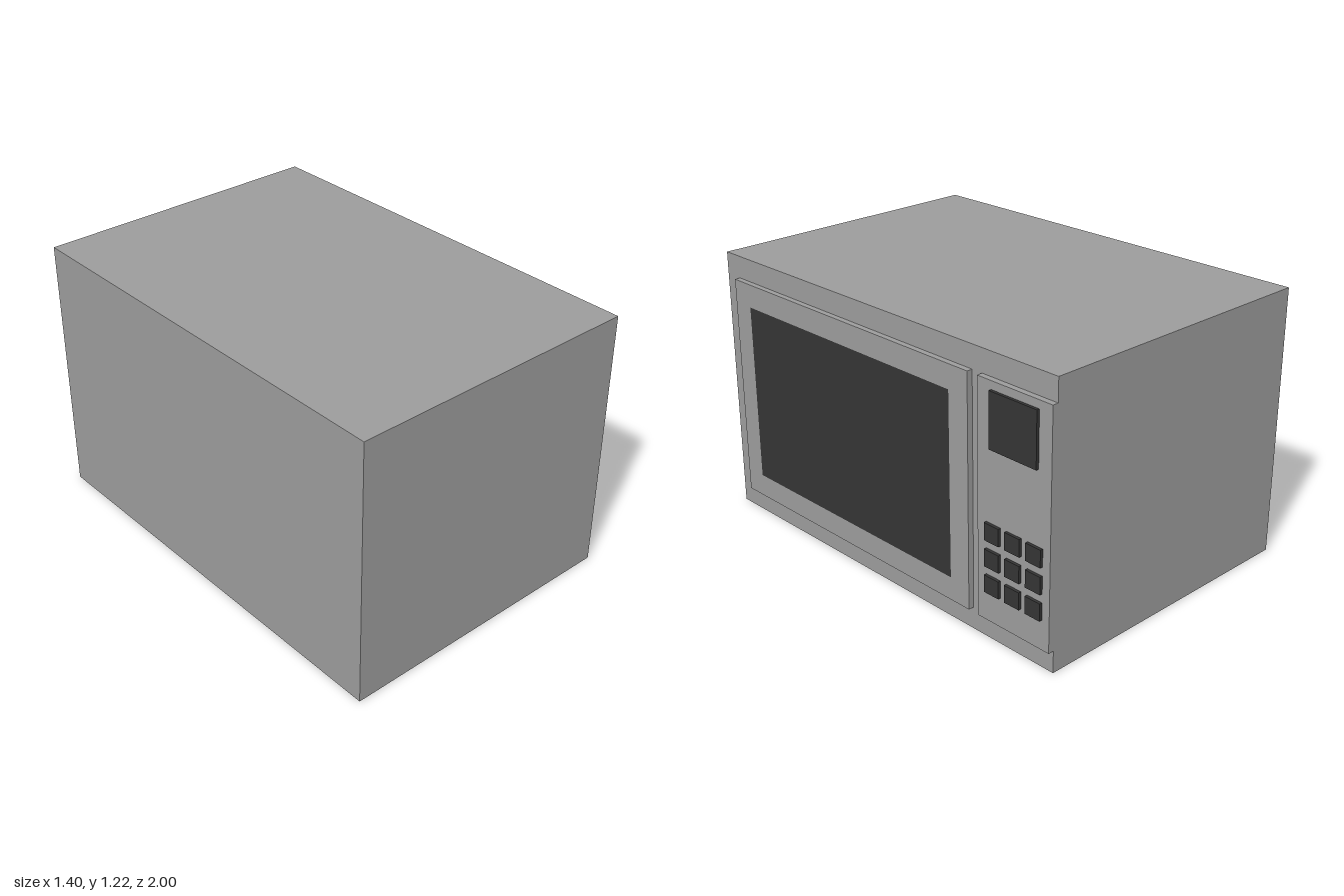
import * as THREE from 'three';

const grey = new THREE.MeshStandardMaterial({ color: 0x9c9c9c, flatShading: true });
const dark = new THREE.MeshStandardMaterial({ color: 0x343434, flatShading: true });

const BODY_X = 0.661;  // face of the cabinet
const DOOR_X = 0.687;  // face of the door and the control panel
const FRONT_X = 0.7;   // face of the display and buttons

// Box given by its limits along each axis
function box(name, material, [x0, x1], [y0, y1], [z0, z1]) {
  const mesh = new THREE.Mesh(new THREE.BoxGeometry(x1 - x0, y1 - y0, z1 - z0), material);
  mesh.position.set((x0 + x1) / 2, (y0 + y1) / 2, (z0 + z1) / 2);
  mesh.name = name;
  return mesh;
}

// Rectangle outline, with z running to the left
function outline(Type, [y0, y1], [z0, z1]) {
  return new Type([
    new THREE.Vector2(-z1, y0), new THREE.Vector2(-z0, y0),
    new THREE.Vector2(-z0, y1), new THREE.Vector2(-z1, y1),
  ]);
}

export function createModel() {
  const model = new THREE.Group();
  model.name = 'microwaveOven';

  // Cabinet
  model.add(box('cabinet', grey, [-0.7, BODY_X], [0, 1.217], [-1, 1]));

  // Door: a frame around a flush dark window
  const door = new THREE.Group();
  door.name = 'door';
  const windowY = [0.201, 1.012], windowZ = [-0.46, 0.812];
  const shape = outline(THREE.Shape, [0.098, 1.117], [-0.564, 0.914]);
  shape.holes.push(outline(THREE.Path, windowY, windowZ));
  const frame = new THREE.Mesh(
    new THREE.ExtrudeGeometry(shape, { depth: DOOR_X - BODY_X, bevelEnabled: false }), grey);
  frame.rotation.y = Math.PI / 2;
  frame.position.x = BODY_X;
  frame.name = 'doorFrame';
  door.add(frame, box('doorWindow', dark, [BODY_X, DOOR_X], windowY, windowZ));
  model.add(door);

  // Control panel with display
  const controls = new THREE.Group();
  controls.name = 'controls';
  controls.add(
    box('controlPanel', grey, [BODY_X, DOOR_X], [0.098, 1.117], [-1, -0.617]),
    box('display', dark, [DOOR_X, FRONT_X], [0.846, 1.082], [-0.935, -0.691]));

  // Keypad: three rows of three buttons
  const keypad = new THREE.Group();
  keypad.name = 'keypad';
  for (let row = 0; row < 3; row++) {
    for (let col = 0; col < 3; col++) {
      const y = 0.494 - row * 0.114, z = -0.703 - col * 0.11;
      keypad.add(box('button', dark, [DOOR_X, FRONT_X], [y - 0.038, y + 0.038], [z - 0.039, z + 0.039]));
    }
  }
  controls.add(keypad);
  model.add(controls);

  return model;
}
